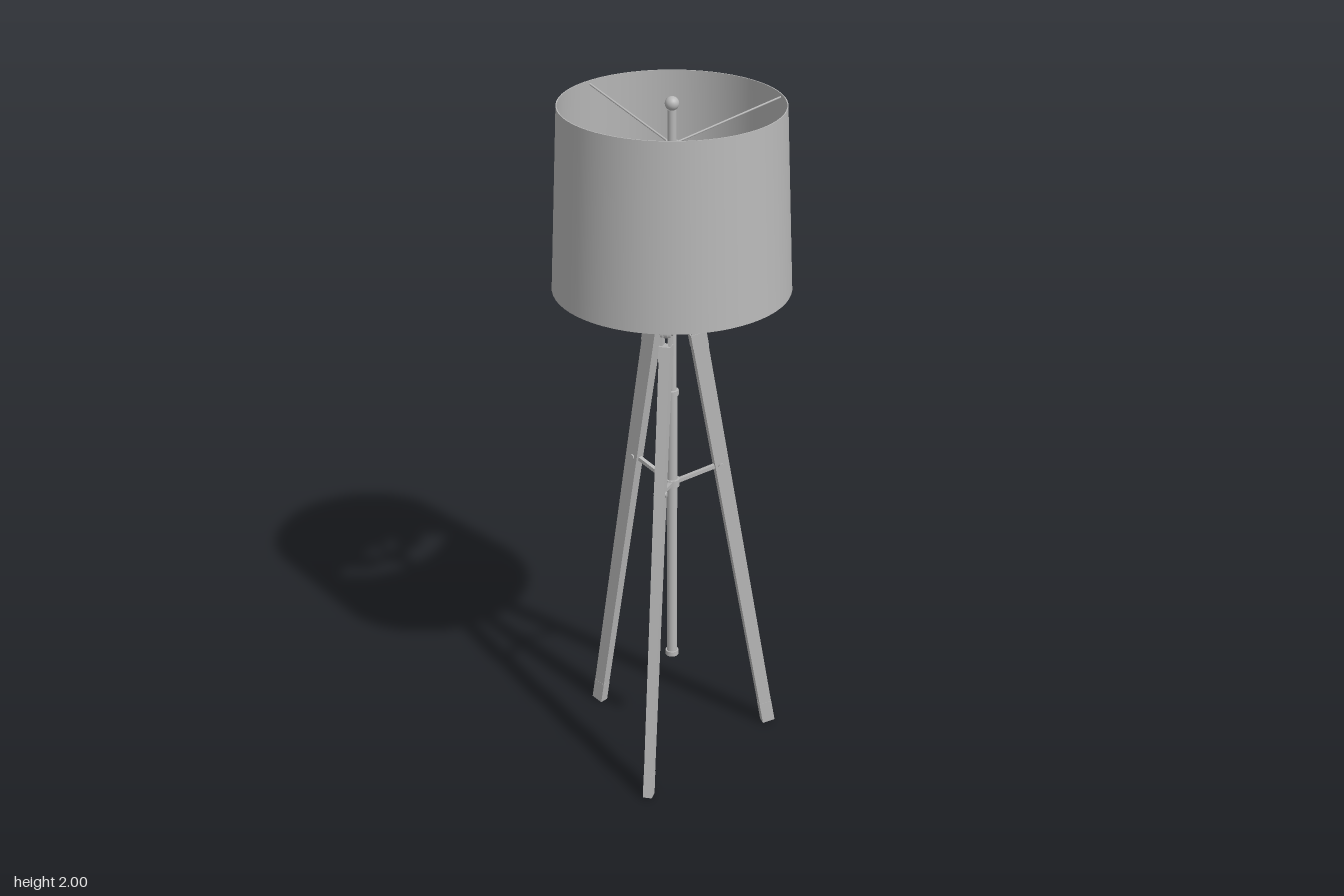
import * as THREE from 'three';

const V = (x, y, z = 0) => new THREE.Vector3(x, y, z);

export function createModel() {
  const lamp = new THREE.Group();
  lamp.name = 'tripodLamp';
  const grey = new THREE.MeshStandardMaterial({ color: 0xb8b8b8 });
  grey.name = 'lampGrey';
  const shadeGrey = grey;

  const add = (parent, name, geometry) => {
    const mesh = new THREE.Mesh(geometry, grey);
    mesh.name = name;
    parent.add(mesh);
    return mesh;
  };
  // Round bar between two points
  const rod = (parent, name, a, b, r0, r1 = r0, sides = 16) => {
    const d = b.clone().sub(a);
    const mesh = add(parent, name, new THREE.CylinderGeometry(r1, r0, d.length(), sides));
    mesh.position.copy(a).addScaledVector(d, 0.5);
    mesh.quaternion.setFromUnitVectors(V(0, 1, 0), d.normalize());
    return mesh;
  };
  // Block lying along a-b, tapering from (w0, t0) to (w1, t1)
  const beam = (parent, name, a, b, w0, t0, w1 = w0, t1 = t0) => {
    const d = b.clone().sub(a), len = d.length();
    const g = new THREE.BoxGeometry(1, len, 1);
    const p = g.attributes.position;
    for (let i = 0; i < p.count; i++) {
      const k = p.getY(i) / len + 0.5;
      p.setX(i, p.getX(i) * (w0 + (w1 - w0) * k));
      p.setZ(i, p.getZ(i) * (t0 + (t1 - t0) * k));
    }
    g.computeVertexNormals();
    const mesh = add(parent, name, g);
    mesh.position.copy(a).addScaledVector(d, 0.5);
    mesh.rotation.z = Math.atan2(-d.x, d.y);
    return mesh;
  };
  const lathe = (points, n) =>
    new THREE.LatheGeometry(points.map(([x, y]) => new THREE.Vector2(x, y)), n);

  // Shade: thin tapered wall with closed rims
  const wall = (name, r0, y0, r1, y1) => add(lamp, name, lathe([[r0, y0], [r1, y1]], 64));
  wall('shadeOuter', 0.325, 1.47, 0.302, 1.98);
  wall('shadeInner', 0.299, 1.98, 0.322, 1.47);
  wall('shadeTopRim', 0.302, 1.98, 0.299, 1.98);
  wall('shadeBottomRim', 0.322, 1.47, 0.325, 1.47);

  // Centre post
  rod(lamp, 'postFoot', V(0, 0.297), V(0, 0.312), 0.019);
  rod(lamp, 'lowerPost', V(0, 0.31), V(0, 1.15), 0.015, 0.015, 24);
  rod(lamp, 'postCollar', V(0, 1.145), V(0, 1.16), 0.019);
  rod(lamp, 'upperPost', V(0, 1.15), V(0, 1.35), 0.012);
  rod(lamp, 'tripodHub', V(0, 1.338), V(0, 1.378), 0.024, 0.024, 24);
  rod(lamp, 'hubCone', V(0, 1.378), V(0, 1.47), 0.021, 0.013, 24);
  rod(lamp, 'shadePost', V(0, 1.47), V(0, 1.965), 0.012);
  rod(lamp, 'socketHub', V(0, 1.695), V(0, 1.745), 0.022);
  rod(lamp, 'topSpiderHub', V(0, 1.86), V(0, 1.88), 0.016);
  rod(lamp, 'bottomSpiderHub', V(0, 1.54), V(0, 1.56), 0.016);
  rod(lamp, 'stretcherHub', V(0, 0.86), V(0, 0.882), 0.022);
  const finial = add(lamp, 'finial', new THREE.SphereGeometry(0.019, 24, 16));
  finial.position.y = 1.981;

  // Candle bulb profile along its axis
  const bulbProfile = new THREE.SplineCurve([
    [0.018, 0.068], [0.028, 0.085], [0.036, 0.118], [0.031, 0.155], [0.018, 0.19], [0.008, 0.208], [0, 0.213],
  ].map(([x, y]) => new THREE.Vector2(x, y))).getPoints(28);
  bulbProfile.forEach((p) => { p.x = Math.max(p.x, 0); });

  for (let i = 0; i < 3; i++) {
    const angle = (i * Math.PI * 2) / 3;

    // Leg, built in the +x direction and turned into place
    const leg = new THREE.Group();
    leg.name = 'legAssembly' + (i + 1);
    leg.rotation.y = angle;
    lamp.add(leg);
    const foot = V(0.305, 0.003), top = V(0.072, 1.325);
    const at = (k) => foot.clone().lerp(top, k);
    beam(leg, 'leg', at(0.05), at(0.97), 0.037, 0.025, 0.044, 0.029);
    beam(leg, 'legFoot', foot, at(0.052), 0.038, 0.026);
    beam(leg, 'legCap', at(0.968), top, 0.046, 0.032);

    // Hinge at the top of the leg
    for (const z of [-0.011, 0.011]) {
      const cheek = beam(leg, 'hingeCheek', V(0.068, 1.32), V(0.065, 1.36), 0.03, 0.006);
      cheek.position.z = z;
      rod(leg, 'hingeDisc', V(0.065, 1.36, z - 0.003), V(0.065, 1.36, z + 0.003), 0.018, 0.018, 20);
    }
    rod(leg, 'hingeBolt', V(0.065, 1.36, -0.019), V(0.065, 1.36, 0.019), 0.008);
    rod(leg, 'hubLugEye', V(0.065, 1.36, -0.006), V(0.065, 1.36, 0.006), 0.016);
    beam(leg, 'hubLug', V(0.01, 1.358), V(0.065, 1.36), 0.018, 0.011);

    // Stretcher between the post and the leg
    beam(leg, 'stretcher', V(0.015, 0.872), V(0.138, 0.905), 0.011, 0.012);
    rod(leg, 'stretcherPin', V(0.142, 0.906, -0.018), V(0.142, 0.906, 0.018), 0.008);

    // Wire arms holding the shade
    rod(leg, 'topSpiderArm', V(0, 1.87), V(0.3, 1.97), 0.003, 0.003, 8);
    rod(leg, 'bottomSpiderArm', V(0, 1.55), V(0.322, 1.475), 0.003, 0.003, 8);

    // Bulb and socket, placed between the legs
    const light = new THREE.Group();
    light.name = 'bulbAssembly' + (i + 1);
    light.rotation.y = angle + Math.PI;
    light.position.y = 1.72;
    lamp.add(light);
    rod(light, 'socket', V(0, 0), V(0.07, 0), 0.02, 0.02, 24);
    const bulb = add(light, 'bulb', new THREE.LatheGeometry(bulbProfile, 32));
    bulb.rotation.z = -Math.PI / 2;
  }
  return lamp;
}
